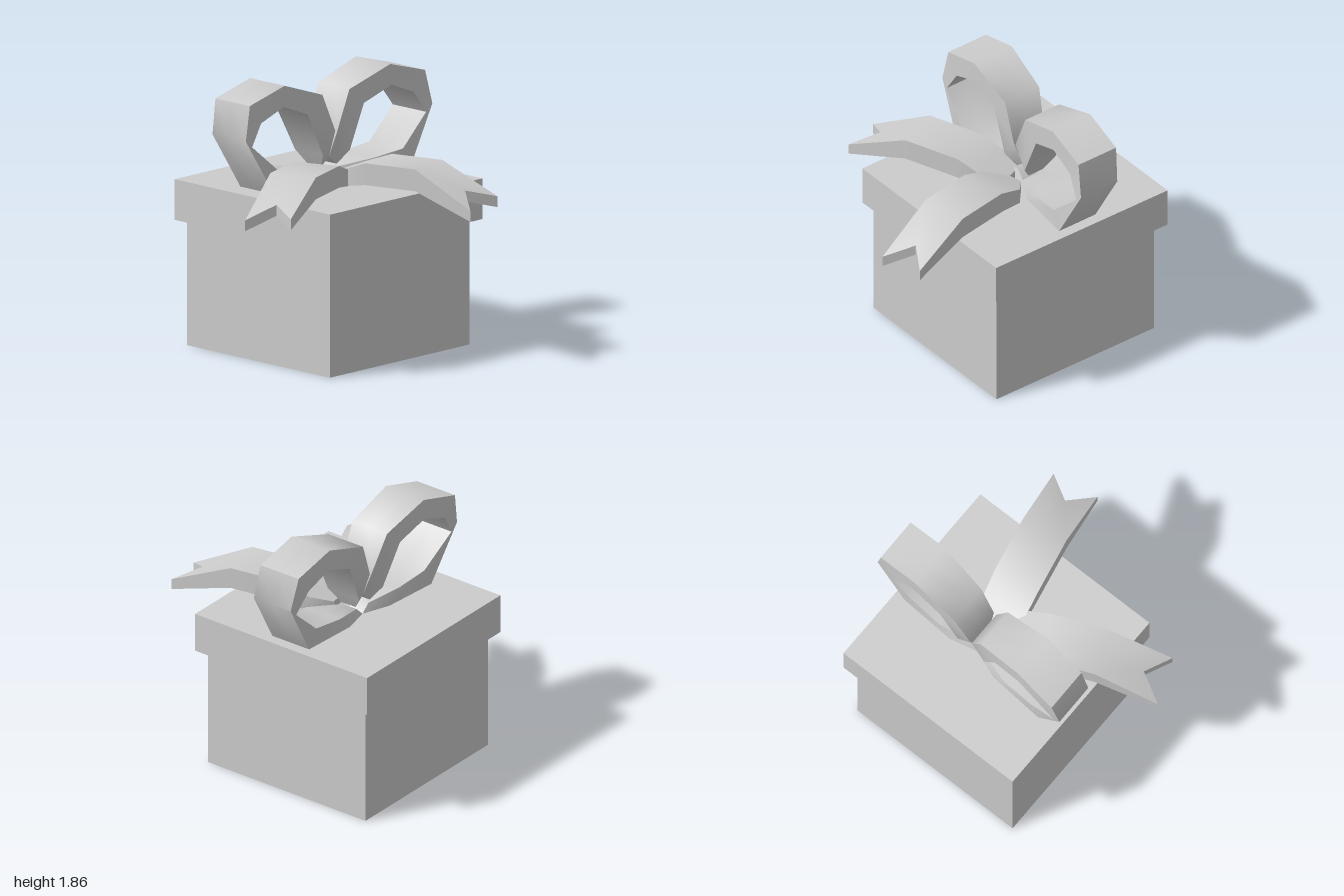
import * as THREE from 'three';
import { toCreasedNormals } from 'three/addons/utils/BufferGeometryUtils.js';

// Skin a row of six-point rings (three points outside, three inside) and cap both ends.
function skin(rings) {
  const pos = [];
  const quad = (a, b, c, d) => pos.push(...a, ...b, ...c, ...a, ...c, ...d);
  for (let i = 0; i < rings.length - 1; i++) {
    const p = rings[i], q = rings[i + 1];
    for (let j = 0; j < 6; j++) {
      const k = (j + 1) % 6;
      quad(p[j], q[j], q[k], p[k]);
    }
  }
  const s = rings[0], e = rings[rings.length - 1];
  quad(s[0], s[1], s[4], s[5]);
  quad(s[1], s[2], s[3], s[4]);
  quad(e[0], e[5], e[4], e[1]);
  quad(e[1], e[4], e[3], e[2]);
  const g = new THREE.BufferGeometry();
  g.setAttribute('position', new THREE.Float32BufferAttribute(pos, 3));
  return toCreasedNormals(g, 0.9);
}

// Bow loop: [outer distance, outer y, inner distance, inner y, half width, z shift]
const LOOP = [
  [0.00, 1.28, 0.07, 1.22, 0.06, 0.02],
  [0.01, 1.47, 0.12, 1.32, 0.13, 0.02],
  [0.12, 1.735, 0.25, 1.62, 0.145, 0],
  [0.47, 1.855, 0.48, 1.71, 0.16, 0],
  [0.78, 1.765, 0.68, 1.63, 0.16, 0],
  [0.83, 1.53, 0.775, 1.48, 0.155, 0.02],
  [0.61, 1.14, 0.54, 1.27, 0.155, 0.05],
  [0.20, 1.14, 0.30, 1.24, 0.14, 0.04],
  [0.00, 1.14, 0.06, 1.20, 0.06, 0.02],
];

function loopGeometry(side) {
  return skin(LOOP.map(([ou, oy, iu, iy, hw, shift]) => {
    const at = (u, y, w) => [0.16 + side * u, y, -0.36 + side * u * 0.08 + shift + w * side * hw];
    return [at(ou, oy, 1), at(ou, oy, 0), at(ou, oy, -1), at(iu, iy, -1), at(iu, iy, 0), at(iu, iy, 1)];
  }));
}

// Ribbon tail: [distance, half width, top y, bottom y]
const TAIL = [
  [0, 0.06, 1.20, 1.14],
  [0.13, 0.16, 1.25, 1.14],
  [0.32, 0.165, 1.32, 1.17],
  [0.72, 0.165, 1.33, 1.18],
  [1.16, 0.165, 1.12, 1.045],
];

function tailGeometry() {
  return skin(TAIL.map(([s, hw, top, bottom], i) => {
    const tip = i === TAIL.length - 1;
    const roll = tip ? 0.018 : 0;
    const ms = tip ? s - 0.15 : s, lift = tip ? 0.07 : 0; // swallowtail notch
    return [
      [-hw, top - roll, s], [0, top + lift, ms], [hw, top + roll, s],
      [hw, bottom + roll, s], [0, bottom + lift, ms], [-hw, bottom - roll, s],
    ];
  }));
}

export function createModel() {
  const model = new THREE.Group();
  model.name = 'giftBox';
  const grey = new THREE.MeshStandardMaterial({ color: 0xcccccc });
  grey.name = 'plainGrey';

  const add = (name, geometry) => {
    const mesh = new THREE.Mesh(geometry, grey);
    mesh.name = name;
    model.add(mesh);
    return mesh;
  };

  // Box and overhanging lid, turned very slightly
  const slab = (name, size, y0, y1, x, z) => {
    const m = add(name, new THREE.BoxGeometry(size, y1 - y0, size));
    m.position.set(x, (y0 + y1) / 2, z);
    m.rotation.y = -0.008;
  };
  slab('box', 1.335, 0, 0.86, 0.113, -0.24);
  slab('lid', 1.455, 0.86, 1.14, 0.12, -0.245);

  // Two bow loops
  add('leftLoop', loopGeometry(1));
  add('rightLoop', loopGeometry(-1));

  // Two swallowtail ribbon ends
  const tail = tailGeometry();
  for (const [name, x, z, dx, dz] of [
    ['frontTail', 0.17, -0.2, 0.188, 0.982],
    ['rightTail', 0.13, -0.2, -0.931, 0.365],
  ]) {
    const m = add(name, tail);
    m.position.set(x, 0, z);
    m.rotation.y = Math.atan2(dx, dz);
  }
  return model;
}
